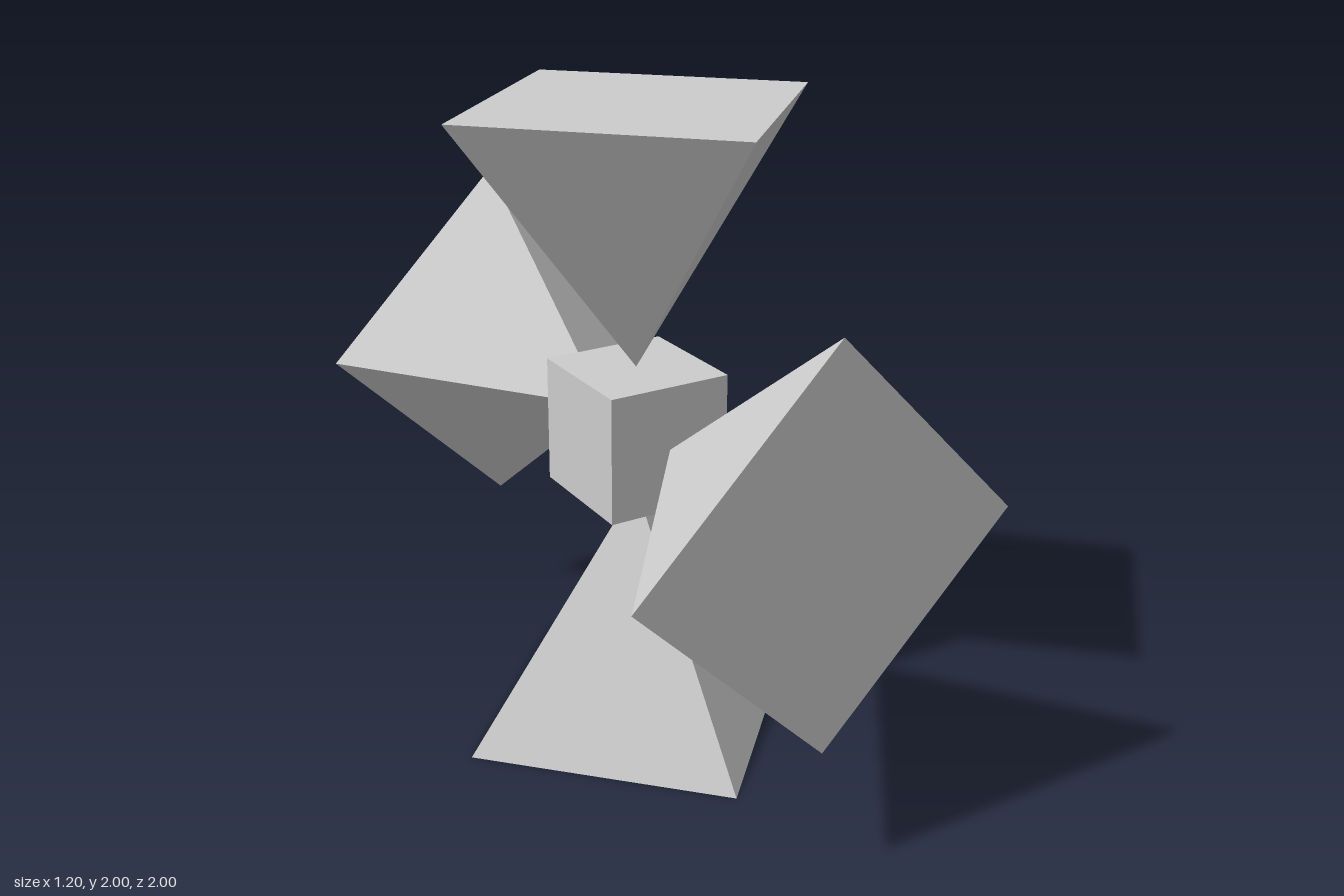
import * as THREE from 'three';

export function createModel() {
  const model = new THREE.Group();
  const material = new THREE.MeshStandardMaterial({ color: 0xcccccc, flatShading: true });

  // Central cube
  const cube = new THREE.Mesh(new THREE.BoxGeometry(0.4, 0.4, 0.4), material);
  cube.name = 'centreCube';
  cube.position.y = 1;
  model.add(cube);

  // Four square pyramids around the x axis, each with its tip touching the cube
  const pyramid = new THREE.ConeGeometry(0.6, 0.8, 4).translate(0, -0.6, 0);
  ['bottomPyramid', 'backPyramid', 'topPyramid', 'frontPyramid'].forEach((name, i) => {
    const mesh = new THREE.Mesh(pyramid, material);
    mesh.name = name;
    mesh.position.y = 1;
    mesh.rotation.x = i * Math.PI / 2;
    model.add(mesh);
  });

  return model;
}
